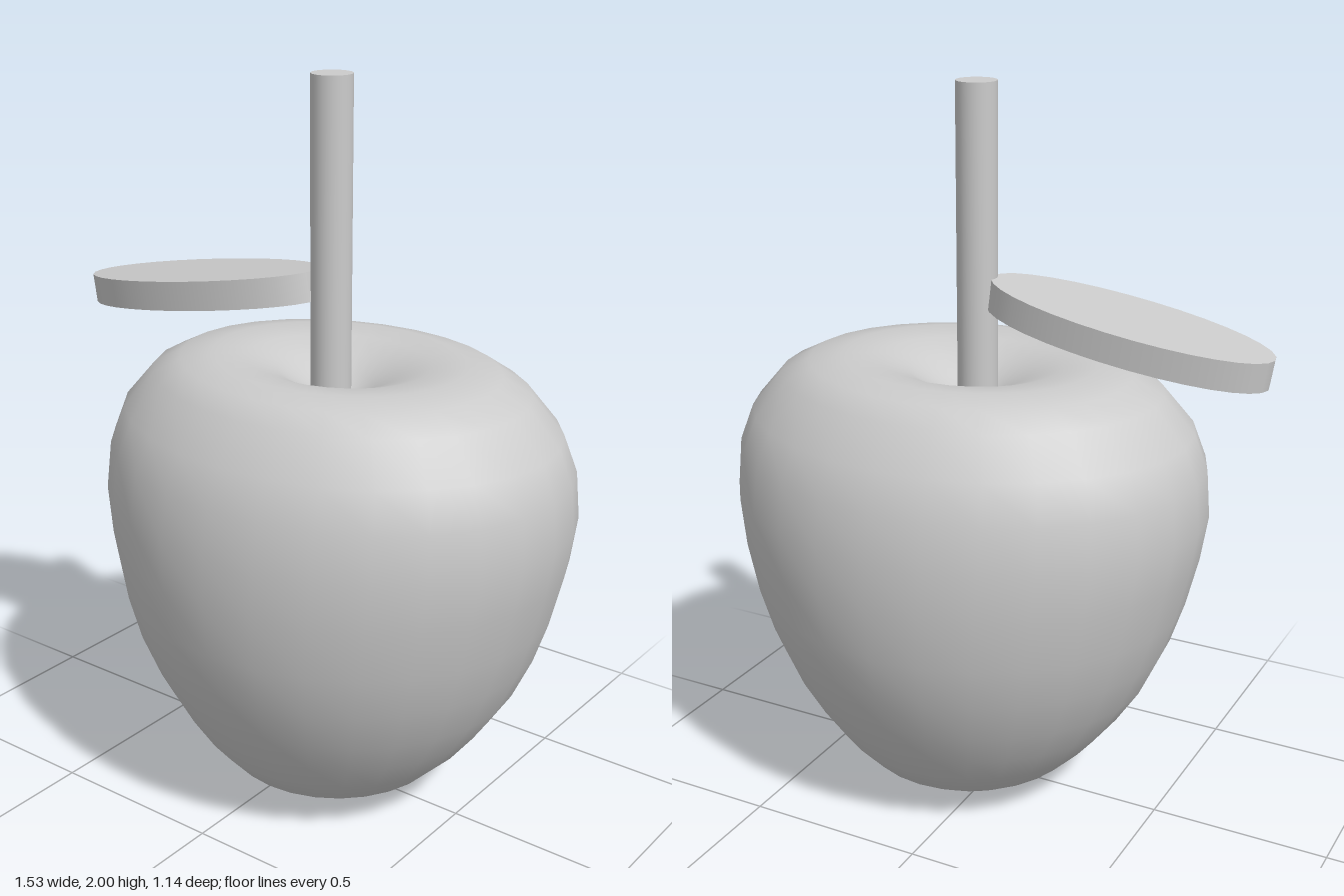
import * as THREE from 'three';
import { mergeVertices } from 'three/addons/utils/BufferGeometryUtils.js';

const grey = new THREE.MeshStandardMaterial({ color: 0xcccccc });

// Cross-sections from the bottom dimple to the top one: [height, half width x, half depth z]
const SECTIONS = [
  [0.05, 0.001, 0.001], [0.045, 0.04, 0.04], [0.015, 0.085, 0.085], [0.003, 0.12, 0.12],
  [0.025, 0.21, 0.21], [0.09, 0.31, 0.31], [0.17, 0.39, 0.38], [0.26, 0.46, 0.435],
  [0.36, 0.525, 0.485], [0.48, 0.58, 0.53], [0.6, 0.62, 0.557], [0.74, 0.655, 0.571],
  [0.87, 0.677, 0.567], [1.0, 0.668, 0.545], [1.1, 0.632, 0.5], [1.2, 0.545, 0.425],
  [1.243, 0.46, 0.37], [1.26, 0.36, 0.3], [1.25, 0.26, 0.22], [1.22, 0.17, 0.15],
  [1.18, 0.1, 0.095], [1.15, 0.05, 0.05], [1.14, 0.001, 0.001],
];

// Lathe the width profile, then squash each ring to its own depth
function fruitGeometry() {
  const profile = SECTIONS.map(([y, rx]) => new THREE.Vector2(rx, y));
  let geo = new THREE.LatheGeometry(profile, 28);
  const pos = geo.attributes.position;
  for (let i = 0; i < pos.count; i++) {
    const [, rx, rz] = SECTIONS[i % SECTIONS.length];
    pos.setZ(i, pos.getZ(i) * rz / rx);
  }
  // Weld the seam so shading is smooth all round
  geo.deleteAttribute('uv');
  geo.deleteAttribute('normal');
  geo = mergeVertices(geo, 1e-5);
  geo.computeVertexNormals();
  return geo;
}

function addPart(group, name, geometry, x, y, z) {
  const mesh = new THREE.Mesh(geometry, grey);
  mesh.name = name;
  mesh.position.set(x, y, z);
  group.add(mesh);
  return mesh;
}

export function createModel() {
  const model = new THREE.Group();
  model.name = 'apple';

  addPart(model, 'fruit', fruitGeometry(), 0.085, 0, 0);

  // Stem rooted in the top dimple
  const stemBase = 1.1, stemTop = 2;
  addPart(model, 'stem', new THREE.CylinderGeometry(0.055, 0.055, stemTop - stemBase, 32),
    0.06, (stemBase + stemTop) / 2, 0);

  // Leaf: a thick elliptical disc drooping away from the stem
  const leafGeo = new THREE.CylinderGeometry(1, 1, 0.08, 32).scale(0.397, 1, 0.16);
  addPart(model, 'leaf', leafGeo, -0.365, 1.388, 0.02).rotation.z = 0.157;

  return model;
}
